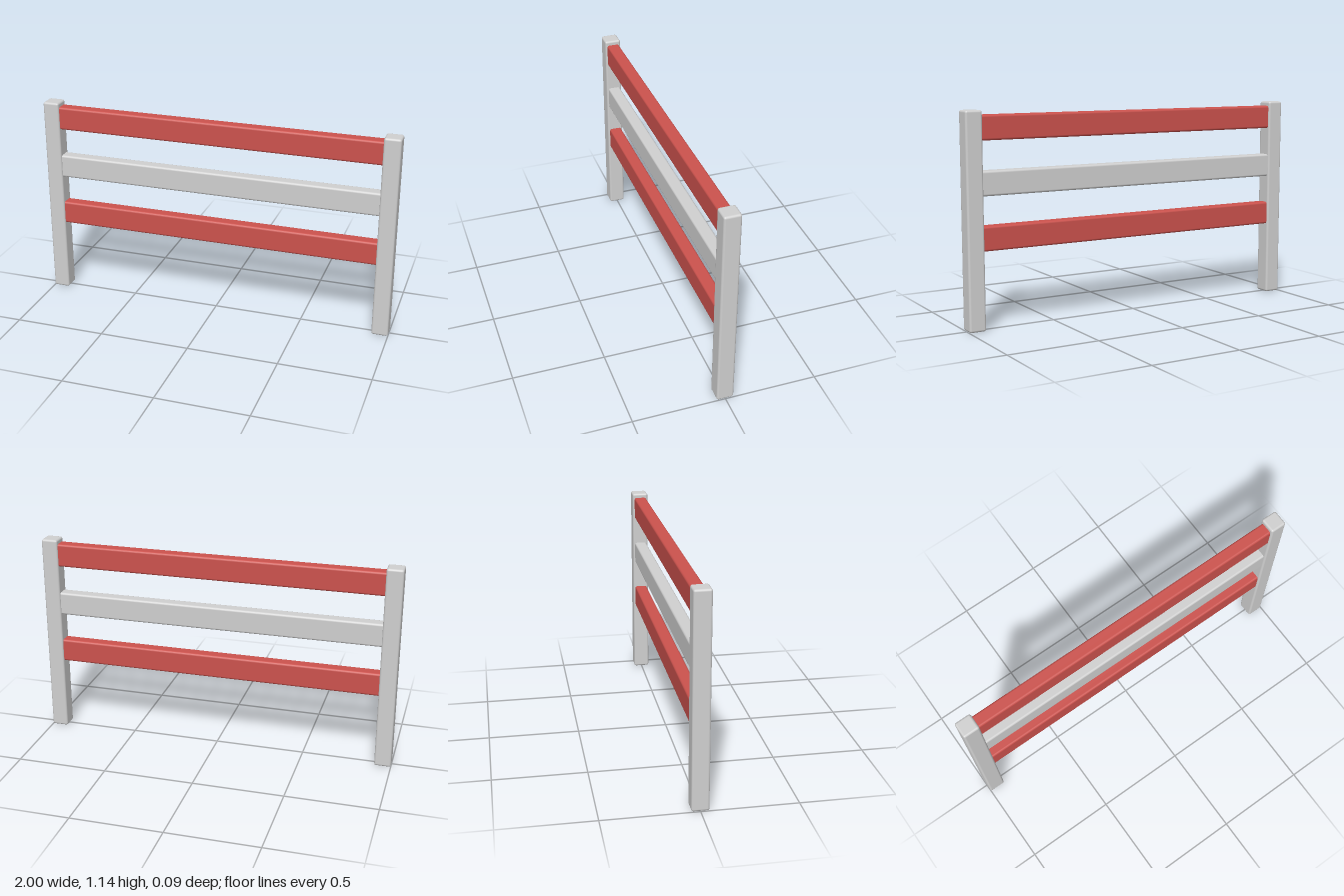
import * as THREE from 'three';
import { RoundedBoxGeometry } from 'three/addons/geometries/RoundedBoxGeometry.js';

export function createModel() {
  const group = new THREE.Group();
  group.name = 'barrier';

  const greyPaint = new THREE.MeshStandardMaterial({ color: 0xd0d0d0 });
  greyPaint.name = 'greyPaint';
  const redPaint = new THREE.MeshStandardMaterial({ color: 0xcc524d });
  redPaint.name = 'redPaint';

  function addBeam(name, size, position, material) {
    const mesh = new THREE.Mesh(new RoundedBoxGeometry(...size, 2, 0.012), material);
    mesh.name = name;
    mesh.position.set(...position);
    group.add(mesh);
  }

  // Upright posts
  for (const [name, side] of [['leftPost', 1], ['rightPost', -1]]) {
    addBeam(name, [0.092, 1.14, 0.092], [side * 0.954, 0.57, 0], greyPaint);
  }

  // Horizontal rails, with their ends sunk into the posts
  const rails = [
    ['bottomRail', 0.48, redPaint],
    ['middleRail', 0.765, greyPaint],
    ['topRail', 1.05, redPaint],
  ];
  for (const [name, y, material] of rails) {
    addBeam(name, [1.9, 0.13, 0.07], [0, y, 0], material);
  }

  return group;
}
